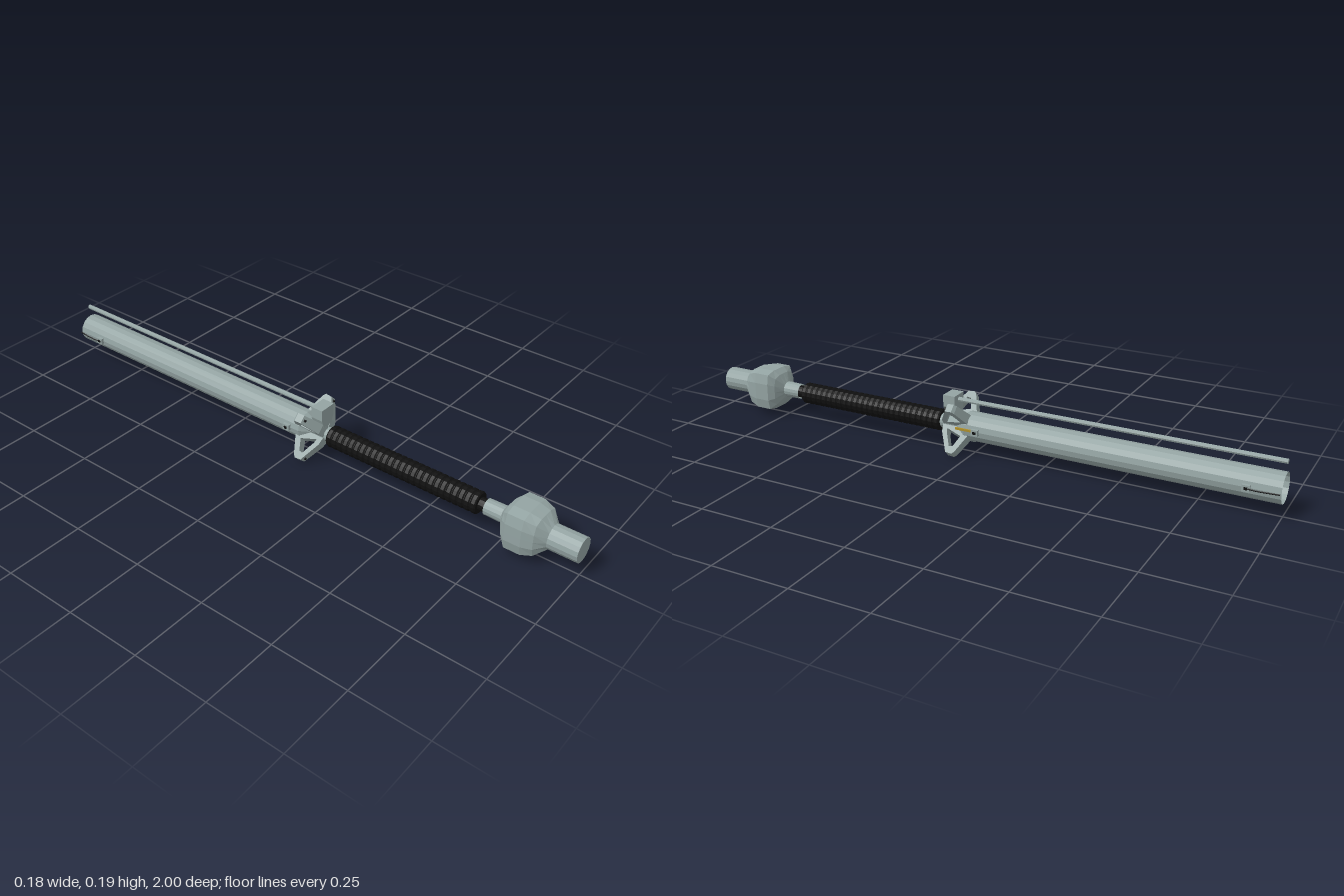
import * as THREE from 'three';

const AXIS_Y = 0.09;

export function createModel() {
  const steel = new THREE.MeshStandardMaterial({ color: 0x94a4a3, flatShading: true, side: THREE.DoubleSide });
  steel.name = 'steel';
  const black = new THREE.MeshStandardMaterial({ color: 0x101010, flatShading: true });
  black.name = 'black';
  const brass = new THREE.MeshStandardMaterial({ color: 0xb0902c, flatShading: true });
  brass.name = 'brass';

  const model = new THREE.Group();
  model.name = 'staff';
  const shaft = new THREE.Group();
  shaft.name = 'shaft';
  shaft.position.y = AXIS_Y;
  model.add(shaft);

  const add = (name, geometry, material, x = 0, y = 0, z = 0, parent = shaft) => {
    const mesh = new THREE.Mesh(geometry, material);
    mesh.name = name;
    mesh.position.set(x, y, z);
    parent.add(mesh);
    return mesh;
  };
  const box = (w, h, d) => new THREE.BoxGeometry(w, h, d);
  // Turned part along z from [radius, z] pairs, in rising z
  const turned = (profile, sides = 16) =>
    new THREE.LatheGeometry(profile.map(([r, z]) => new THREE.Vector2(r, z)), sides).rotateX(Math.PI / 2);

  // Open barrel, closing to a narrow collar at the guard
  add('barrel', turned([[0.048, -1], [0.048, 0.02], [0.03, 0.05], [0.024, 0.06], [0.024, 0.12]]), steel);

  // Ribbed grip and its thin end
  const ribs = [[0, 0.12]];
  const ribCount = 26;
  for (let i = 0; i < ribCount; i++) {
    const z = 0.12 + (0.55 * i) / ribCount;
    ribs.push([0.033, z], [0.036, z + 0.005], [0.036, z + 0.016], [0.033, z + 0.02]);
  }
  ribs.push([0, 0.67]);
  add('grip', turned(ribs), black);
  add('gripEnd', turned([[0.021, 0.66], [0.021, 0.7]]), black);

  // Pommel: rings blending from round to a bulging square
  add('pommel', pommelGeometry([
    [0.026, 0.69, 2], [0.027, 0.75, 2], [0.055, 0.768, 4], [0.07, 0.787, 6],
    [0.07, 0.84, 6], [0.062, 0.875, 4.5], [0.04, 0.905, 2],
  ]), steel);
  add('pommelCap', turned([[0.04, 0.9], [0.04, 1], [0, 1]]), steel);

  // Four diagonal guard prongs, each an open frame in the radius-z plane
  const frame = new THREE.Shape([
    [0.02, 0.105], [0.045, 0.1], [0.112, 0.063], [0.114, 0.04], [0.105, 0.032], [0.045, 0.006], [0.02, 0.03],
  ].map(p => new THREE.Vector2(...p)));
  frame.holes.push(new THREE.Path([
    [0.032, 0.085], [0.045, 0.082], [0.09, 0.058], [0.088, 0.045], [0.05, 0.03],
  ].map(p => new THREE.Vector2(...p))));
  const prong = new THREE.ExtrudeGeometry(frame, { depth: 0.03, bevelEnabled: false });
  prong.translate(0, 0, -0.015).rotateX(Math.PI / 2);
  // Narrow the outer end slightly
  const pos = prong.attributes.position;
  for (let i = 0; i < pos.count; i++) pos.setY(i, pos.getY(i) * (1.25 - 3 * pos.getX(i)));
  prong.computeVertexNormals();
  for (let i = 0; i < 4; i++) {
    const arm = new THREE.Group();
    arm.name = 'guardProng';
    arm.rotation.z = Math.PI / 4 + (i * Math.PI) / 2;
    shaft.add(arm);
    add('prongFrame', prong, steel, 0, 0, 0, arm);
    // Dark stud near the tip
    const stud = new THREE.CylinderGeometry(0.004, 0.004, 0.008, 8).rotateX(Math.PI / 2);
    add('prongStud', stud, black, 0.103, 0, 0.068, arm);
  }

  // Rod mount with tapered foot, and the rod above the barrel
  const mount = new THREE.Shape([
    [-0.03, 0.1], [-0.03, 0.062], [-0.014, 0.02], [0.014, 0.02], [0.03, 0.062], [0.03, 0.1],
  ].map(p => new THREE.Vector2(...p)));
  add('rodMount', new THREE.ExtrudeGeometry(mount, { depth: 0.042, bevelEnabled: false }), steel, 0, 0, 0.06);
  const rod = new THREE.CylinderGeometry(0.008, 0.008, 1.07, 8).rotateX(Math.PI / 2);
  add('rod', rod, steel, 0, 0.083, -0.465);

  // Side brackets and hooked wires
  for (const side of [-1, 1]) {
    for (const z of [-0.025, -0.9]) {
      add('bracket', box(0.012, 0.02, 0.024), steel, side * 0.051, 0, z);
      add('bracketPin', box(0.003, 0.008, 0.01), black, side * 0.058, 0, z);
    }
    const path = new THREE.CatmullRomCurve3([
      [0.052, -0.89], [0.059, -0.92], [0.058, -0.96], [0.054, -0.998],
    ].map(([x, z]) => new THREE.Vector3(side * x, 0, z)));
    add('wire', new THREE.TubeGeometry(path, 10, 0.0022, 5), black);
  }
  // Brass strip on one side
  add('brassStrip', box(0.006, 0.007, 0.07), brass, 0.05, 0.002, 0.012);

  return model;
}

// Rings of [half size, z, squareness power], 2 being round
function pommelGeometry(rings) {
  const sides = 16;
  const points = [];
  const faces = [];
  rings.forEach(([size, z, power], k) => {
    for (let j = 0; j < sides; j++) {
      const a = (j / sides) * Math.PI * 2;
      const c = Math.cos(a), s = Math.sin(a);
      const r = size / Math.pow(Math.abs(c) ** power + Math.abs(s) ** power, 1 / power);
      points.push(r * c, r * s, z);
      if (k === 0) continue;
      const n = (j + 1) % sides;
      const low = (k - 1) * sides, high = k * sides;
      faces.push(low + j, low + n, high + n, low + j, high + n, high + j);
    }
  });
  const geometry = new THREE.BufferGeometry();
  geometry.setAttribute('position', new THREE.Float32BufferAttribute(points, 3));
  geometry.setIndex(faces);
  geometry.computeVertexNormals();
  return geometry;
}
